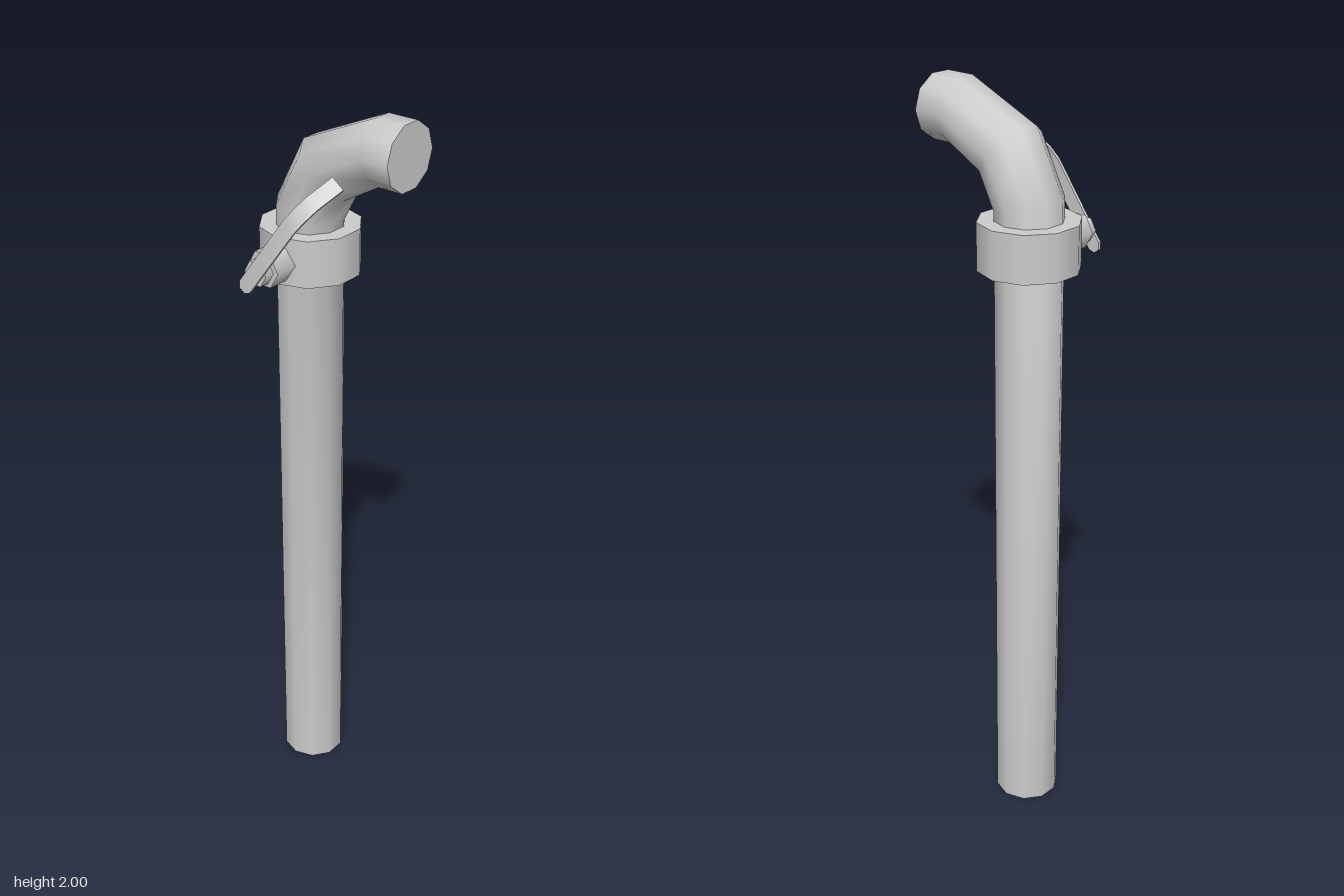
import * as THREE from 'three';
import { toCreasedNormals } from 'three/addons/utils/BufferGeometryUtils.js';

const SIDES = 10, R = 0.087, CX = -0.087, CZ = -0.043;

// Ten-sided pipe lofted through mitred rings, each given by its outer and inner point in the xy plane
function pipeGeometry(rings) {
  const pos = [], idx = [];
  const flat = Math.cos(Math.PI / SIDES);
  rings.forEach(([ox, oy, ix, iy]) => {
    for (let k = 0; k < SIDES; k++) {
      const a = (k / SIDES) * Math.PI * 2, t = Math.sin(a) / flat / 2;
      pos.push((ox + ix) / 2 + (ix - ox) * t, (oy + iy) / 2 + (iy - oy) * t, CZ + R * Math.cos(a));
    }
  });
  for (let r = 0; r < rings.length - 1; r++) {
    for (let k = 0; k < SIDES; k++) {
      const a = r * SIDES + k, b = r * SIDES + (k + 1) % SIDES;
      idx.push(a, b, b + SIDES, a, b + SIDES, a + SIDES);
    }
  }
  // end caps
  const last = (rings.length - 1) * SIDES;
  for (let k = 1; k < SIDES - 1; k++) {
    idx.push(0, k + 1, k, last, last + k, last + k + 1);
  }
  const g = new THREE.BufferGeometry();
  g.setAttribute('position', new THREE.Float32BufferAttribute(pos, 3));
  g.setIndex(idx);
  return toCreasedNormals(g, 1.0);
}

// Thin strip following stations of [distance along, depth z, half width]
function leverGeometry(stations, thickness) {
  const n = stations.length - 1;
  const g = new THREE.BoxGeometry(1, 1, 1, n, 1, 1);
  const p = g.attributes.position;
  for (let i = 0; i < p.count; i++) {
    const j = Math.round((p.getX(i) + 0.5) * n);
    const [s, z, w] = stations[j];
    const a = stations[Math.max(j - 1, 0)], b = stations[Math.min(j + 1, n)];
    const len = Math.hypot(b[0] - a[0], b[1] - a[1]);
    const off = p.getZ(i) * thickness;
    p.setXYZ(i, s - ((b[1] - a[1]) / len) * off, p.getY(i) * 2 * w, z + ((b[0] - a[0]) / len) * off);
  }
  return toCreasedNormals(g, 0.6);
}

export function createModel() {
  const model = new THREE.Group();
  const material = new THREE.MeshStandardMaterial({ color: 0xcccccc });
  const add = (name, geometry, x = 0, y = 0, z = 0) => {
    const mesh = new THREE.Mesh(geometry, material);
    mesh.name = name;
    mesh.position.set(x, y, z);
    model.add(mesh);
    return mesh;
  };

  // Upright pipe with bent outlet
  const h = R * Math.cos(Math.PI / SIDES);
  add('pipe', pipeGeometry([
    [CX - h, 0, CX + h, 0],
    [CX - h, 1.75, CX + h, 1.705],
    [-0.085, 1.91, 0.035, 1.78],
    [0.125, 2, 0.14, 1.84],
    [0.208, 2, 0.208, 1.84],
  ]));

  // Collar around the pipe
  add('collar', new THREE.CylinderGeometry(0.13, 0.13, 0.122, SIDES), CX, 1.63, CZ);

  // Hexagonal valve body and stem, pointing forward
  const hex = (r, depth) => new THREE.CylinderGeometry(r, r, depth, 6, 1, false, Math.PI / 2).rotateX(Math.PI / 2);
  add('valveBody', hex(0.048, 0.097), -0.088, 1.624, 0.0885);
  add('valveStem', hex(0.034, 0.03), -0.088, 1.622, 0.15);

  // Bent lever handle, tilted up towards the outlet
  const lever = add('leverHandle', leverGeometry([
    [-0.065, 0.167, 0.009],
    [-0.05, 0.167, 0.02],
    [0.185, 0.167, 0.02],
    [0.22, 0.157, 0.02],
    [0.257, 0.134, 0.02],
    [0.302, 0.075, 0.02],
  ], 0.008), -0.088, 1.622, 0);
  lever.rotation.z = Math.atan2(0.8, 0.6);

  return model;
}
